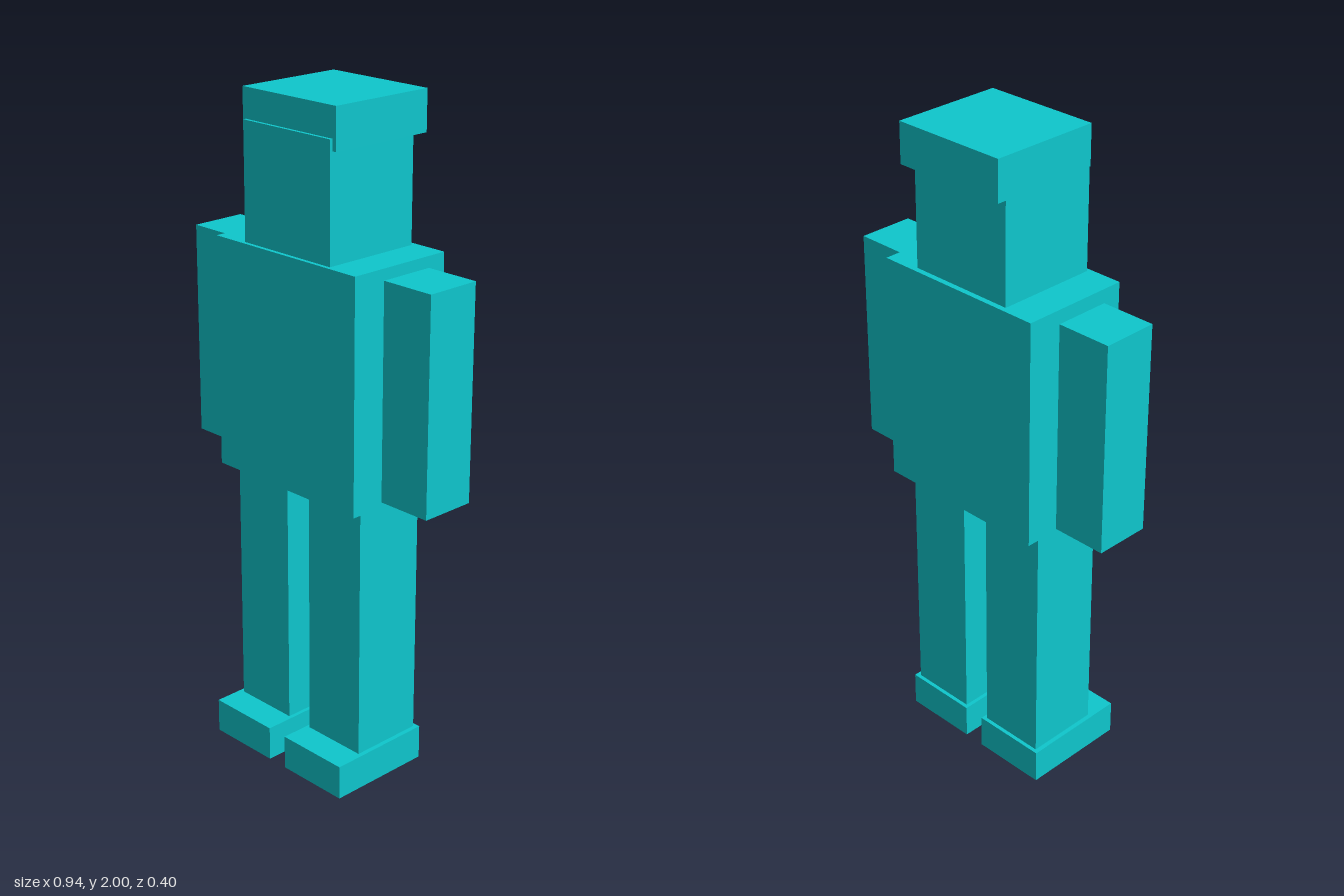
import * as THREE from 'three';

export function createModel() {
  const model = new THREE.Group();
  model.name = 'blockFigure';

  const turquoise = new THREE.MeshStandardMaterial({ color: 0x0ec6cc });
  turquoise.name = 'turquoise';

  // Adds a box spanning the given [min, max] ranges
  function block(name, [x0, x1], [y0, y1], [z0, z1]) {
    const mesh = new THREE.Mesh(new THREE.BoxGeometry(x1 - x0, y1 - y0, z1 - z0), turquoise);
    mesh.name = name;
    mesh.position.set((x0 + x1) / 2, (y0 + y1) / 2, (z0 + z1) / 2);
    model.add(mesh);
  }

  // Body, head and the cap, which sits slightly back on the head
  block('torso', [-0.277, 0.275], [0.882, 1.571], [-0.182, 0.158]);
  block('head', [-0.17, 0.168], [1.571, 1.913], [-0.165, 0.146]);
  block('cap', [-0.182, 0.18], [1.88, 2], [-0.204, 0.136]);

  // Limbs, mirrored about a centre line slightly right of x = 0
  const middle = -0.002;
  for (const [side, s] of [['left', 1], ['right', -1]]) {
    const span = (inner, outer) => [middle + s * inner, middle + s * outer].sort((a, b) => a - b);
    block(side + 'Arm', span(0.299, 0.468), [0.911, 1.547], [-0.099, 0.072]);
    block(side + 'Leg', span(0.045, 0.253), [0.104, 0.882], [-0.122, 0.108]);
    block(side + 'Foot', span(0.033, 0.267), [0, 0.105], [-0.134, 0.199]);
  }

  return model;
}
